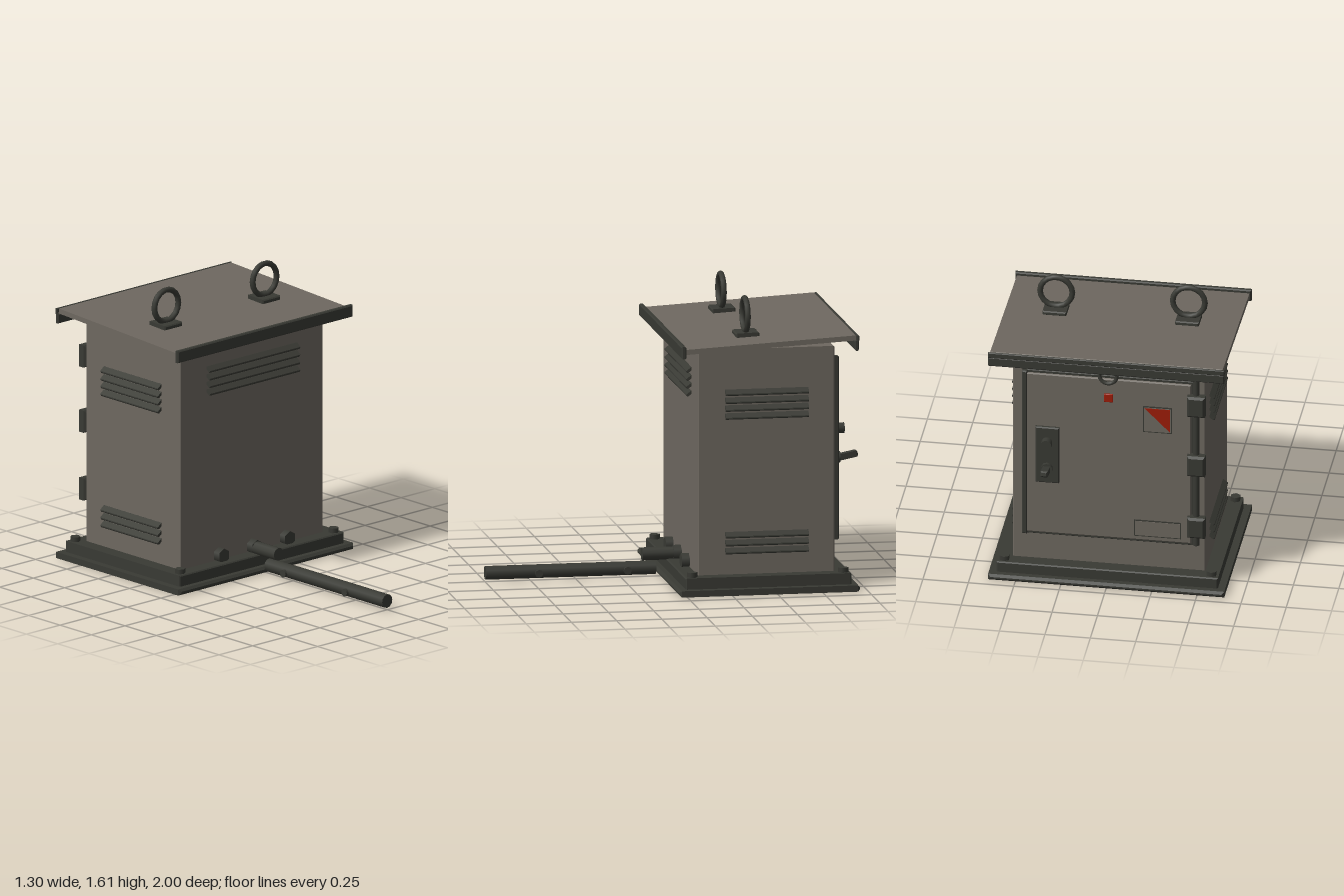
import * as THREE from 'three';

const paint = (name, color) => {
  const m = new THREE.MeshStandardMaterial({ color });
  m.name = name;
  return m;
};

export function createModel() {
  const model = new THREE.Group();
  model.name = 'utilityCabinet';
  const grey = paint('warmGreyPaint', 0x6e6860);
  const dark = paint('darkOliveMetal', 0x393a34);
  const red = paint('warningRed', 0x9e1c08);

  const add = (name, geo, mat, x, y, z, parent = model) => {
    const m = new THREE.Mesh(geo, mat);
    m.name = name;
    m.position.set(x, y, z);
    parent.add(m);
    return m;
  };
  // box with chamfered edges, centred on its position
  const block = (w, h, d, b = 0.006) => {
    const x = w / 2 - b, y = h / 2 - b;
    const s = new THREE.Shape([[-x, -y], [x, -y], [x, y], [-x, y]].map(p => new THREE.Vector2(...p)));
    const g = new THREE.ExtrudeGeometry(s, {
      depth: d - 2 * b, bevelEnabled: true, bevelSize: b, bevelThickness: b, bevelSegments: 1,
    });
    return g.translate(0, 0, b - d / 2);
  };
  const cylZ = (r, len, n) => new THREE.CylinderGeometry(r, r, len, n).rotateX(Math.PI / 2);

  // plinth
  add('baseFlange', block(1.3, 0.035, 1.0, 0.013), dark, 0, 0.0175, -0.457);
  add('basePlinth', block(1.22, 0.07, 0.915), dark, 0, 0.062, -0.457);
  for (const x of [-0.57, 0.57])
    for (const z of [-0.04, -0.875])
      add('anchorBolt', new THREE.CylinderGeometry(0.029, 0.029, 0.03, 6), dark, x, 0.108, z);

  // cabinet body
  add('cabinetBody', block(1.06, 1.25, 0.755, 0.005), grey, 0, 0.717, -0.458);

  // sloping roof with front and back lips
  const roof = new THREE.Group();
  roof.name = 'roof';
  roof.position.set(0, 1.378, -0.457);
  roof.rotation.x = 0.052;
  model.add(roof);
  add('roofPanel', block(1.28, 0.028, 0.965), grey, 0, 0, 0, roof);
  add('roofFrontLip', block(1.3, 0.068, 0.027), dark, 0, 1.352, 0.018);
  add('roofBackLip', block(1.3, 0.055, 0.024), dark, 0, 1.361, -0.937);
  add('roofBackFold', block(1.3, 0.032, 0.014, 0.004), dark, 0, 1.401, -0.944);

  // lifting eyes
  for (const x of [-0.365, 0.365]) {
    add('liftingEyePlate', block(0.13, 0.026, 0.13), dark, x, 1.397, -0.375).rotation.x = 0.03;
    add('liftingEyeRing', new THREE.TorusGeometry(0.089, 0.016, 8, 18), dark, x, 1.502, -0.37);
  }

  // louvres: slats sloping outwards and down
  const louvre = (name, width, ys, x, z, turn) => {
    const g = new THREE.Group();
    g.name = name;
    g.position.set(x, 0, z);
    g.rotation.y = turn;
    for (const y of ys)
      add('slat', block(width, 0.015, 0.042, 0.004), dark, 0, y, 0.01, g).rotation.x = 0.65;
    model.add(g);
  };
  louvre('frontLouvre', 0.67, [1.197, 1.153, 1.11, 1.067], 0, -0.08, 0);
  for (const s of [-1, 1]) {
    louvre('upperSideLouvre', 0.46, [1.104, 1.06, 1.017, 0.973], s * 0.53, -0.46, s * Math.PI / 2);
    louvre('lowerSideLouvre', 0.46, [0.316, 0.272, 0.228], s * 0.53, -0.46, s * Math.PI / 2);
  }

  // cable glands and conduit at the front
  for (const x of [-0.245, 0, 0.245])
    add('cableGland', cylZ(0.042, 0.045, 6), dark, x, 0.127, -0.06);
  add('conduitStub', cylZ(0.036, 0.215, 10), dark, 0, 0.125, 0.027);
  add('conduit', cylZ(0.038, 0.94, 12), dark, 0, 0.049, 0.53);
  for (const z of [0.22, 0.71])
    add('conduitPin', new THREE.CylinderGeometry(0.022, 0.022, 0.1, 8).rotateZ(Math.PI / 2), dark, 0, 0.043, z);

  // door on the back
  add('doorSeal', block(0.94, 1.02, 0.02, 0.003), dark, 0, 0.765, -0.838);
  add('doorPanel', block(0.91, 0.99, 0.03), grey, 0, 0.765, -0.845);
  add('doorEdgeStrip', block(0.028, 1.015, 0.036), dark, 0.462, 0.767, -0.852);
  add('hingeRod', new THREE.CylinderGeometry(0.018, 0.018, 1.03, 8), dark, -0.482, 0.78, -0.856);
  for (const y of [1.14, 0.77, 0.385])
    add('hinge', block(0.1, 0.125, 0.06, 0.012), dark, -0.485, y, -0.867);
  add('padlockRing', new THREE.TorusGeometry(0.048, 0.011, 8, 16), dark, 0, 1.29, -0.877);

  // latch plate, lock knob and lever
  add('latchPlate', block(0.13, 0.345, 0.024), dark, 0.335, 0.767, -0.87);
  add('lockKnob', cylZ(0.03, 0.05, 10), dark, 0.335, 0.85, -0.897);
  add('leverHub', cylZ(0.032, 0.025, 10), dark, 0.335, 0.69, -0.887);
  add('lever', block(0.04, 0.034, 0.125, 0.008), dark, 0.335, 0.697, -0.935).rotation.x = 0.2;

  // door signs
  add('indicator', block(0.05, 0.05, 0.012, 0.003), red, 0, 1.145, -0.864);
  const sign = (name, w, h, x, y) => {
    add(name + 'Rim', new THREE.BoxGeometry(w, h, 0.006), dark, x, y, -0.862);
    add(name + 'Face', new THREE.BoxGeometry(w - 0.012, h - 0.012, 0.006), grey, x, y, -0.864);
  };
  sign('warningSign', 0.16, 0.16, -0.27, 1.03);
  sign('ratingPlate', 0.26, 0.1, -0.27, 0.347);
  const tri = new THREE.Shape([[0.07, 0.07], [-0.07, 0.07], [-0.07, -0.07]].map(p => new THREE.Vector2(...p)));
  add('warningTriangle', new THREE.ExtrudeGeometry(tri, { depth: 0.004, bevelEnabled: false }), red, -0.27, 1.03, -0.87);

  return model;
}
